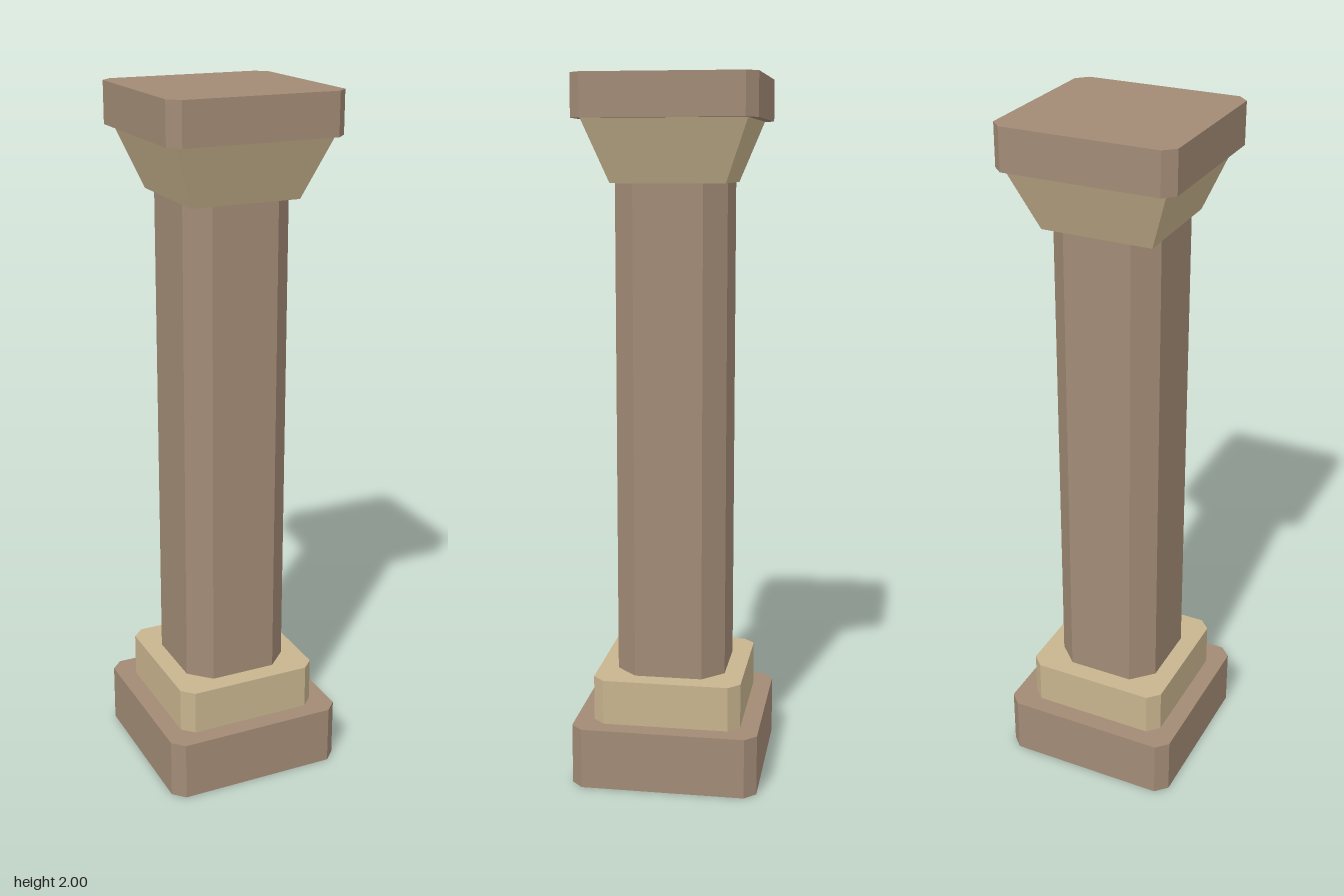
import * as THREE from 'three';

const brownStone = new THREE.MeshStandardMaterial({ color: 0xa28b76 });
const tanStone = new THREE.MeshStandardMaterial({ color: 0xc8b48e });

// Upright square block with chamfered vertical edges
function chamferedBlock(name, half, chamfer, y0, y1, material) {
  const h = half, c = half - chamfer;
  const outline = [[h, -c], [h, c], [c, h], [-c, h], [-h, c], [-h, -c], [-c, -h], [c, -h]];
  const shape = new THREE.Shape(outline.map(([x, y]) => new THREE.Vector2(x, y)));
  const geometry = new THREE.ExtrudeGeometry(shape, { depth: y1 - y0, bevelEnabled: false });
  geometry.rotateX(-Math.PI / 2);
  geometry.translate(0, y0, 0);
  const mesh = new THREE.Mesh(geometry, material);
  mesh.name = name;
  return mesh;
}

// Square block that widens from bottom to top, with sharp corners
function flaredBlock(name, halfBottom, halfTop, y0, y1, material) {
  const geometry = new THREE.CylinderGeometry(
    halfTop * Math.SQRT2, halfBottom * Math.SQRT2, y1 - y0, 4, 1, false, Math.PI / 4
  ).toNonIndexed();
  geometry.computeVertexNormals();
  geometry.translate(0, (y0 + y1) / 2, 0);
  const mesh = new THREE.Mesh(geometry, material);
  mesh.name = name;
  return mesh;
}

export function createModel() {
  const column = new THREE.Group();
  column.name = 'column';
  column.add(
    chamferedBlock('base', 0.267, 0.033, 0, 0.175, brownStone),
    chamferedBlock('plinth', 0.213, 0.033, 0.175, 0.305, tanStone),
    chamferedBlock('shaft', 0.157, 0.06, 0.305, 1.71, brownStone),
    flaredBlock('capital', 0.159, 0.225, 1.71, 1.882, tanStone),
    chamferedBlock('topSlab', 0.252, 0.031, 1.882, 2, brownStone)
  );
  return column;
}
